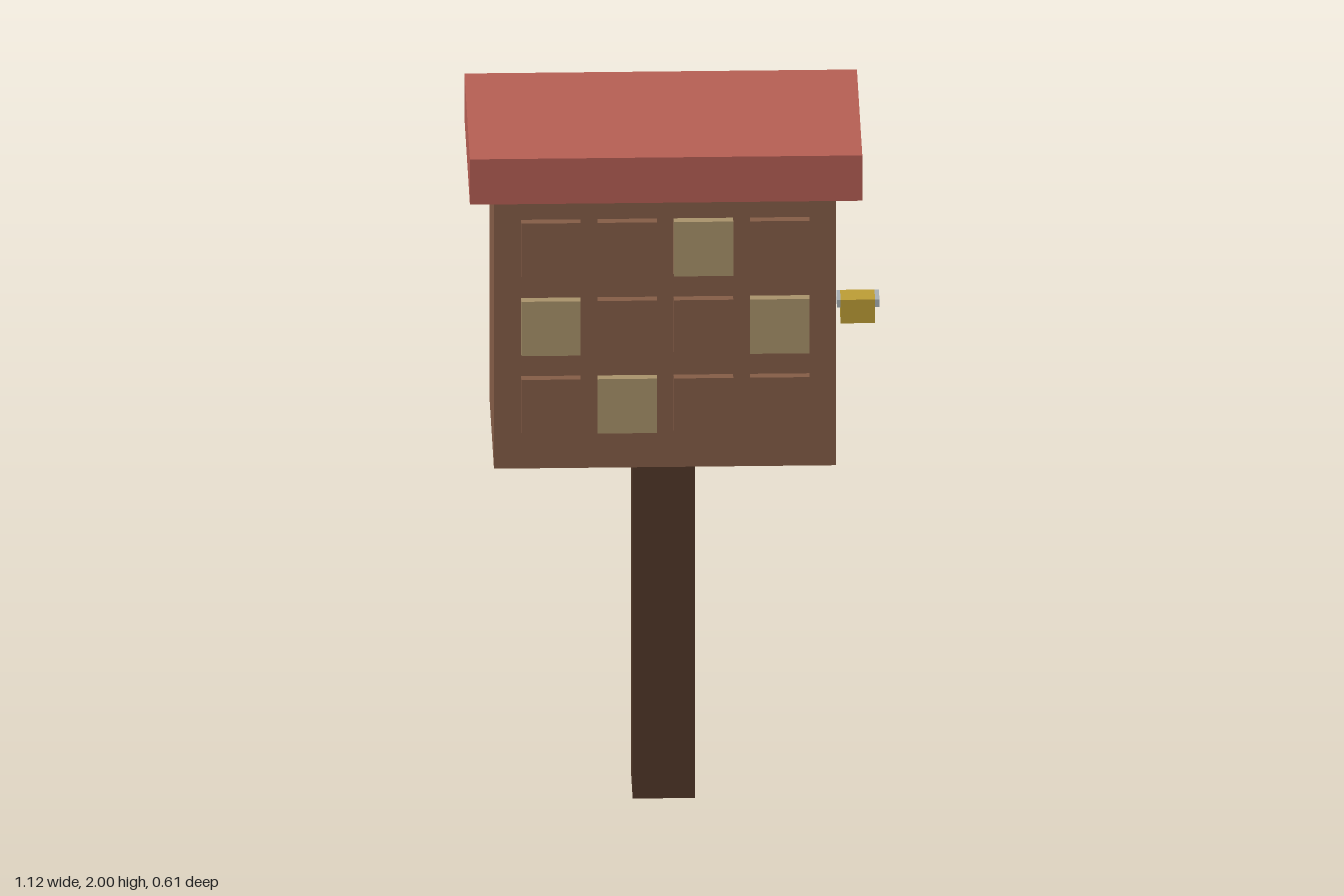
import * as THREE from 'three';

const material = (name, color) => {
  const m = new THREE.MeshStandardMaterial({ color });
  m.name = name;
  return m;
};

// Box given by its lower and upper limits on each axis
function box(name, mat, [x0, x1], [y0, y1], [z0, z1]) {
  const mesh = new THREE.Mesh(new THREE.BoxGeometry(x1 - x0, y1 - y0, z1 - z0), mat);
  mesh.name = name;
  mesh.position.set((x0 + x1) / 2, (y0 + y1) / 2, (z0 + z1) / 2);
  return mesh;
}

export function createModel() {
  const wood = material('brown wood', 0x865e48);
  const darkWood = material('dark wood', 0x523829);
  const red = material('roof red', 0xb86055);
  const tan = material('pale tan', 0xab946c);
  const gold = material('gold', 0xbf9f36);
  const grey = material('light grey', 0xabb3b8);

  const model = new THREE.Group();
  model.name = 'mailboxCabinet';

  // Post, cabinet and overhanging roof
  model.add(
    box('post', darkWood, [-0.111, 0.059], [0, 1.053], [-0.101, 0.069]),
    box('cabinet', wood, [-0.493, 0.44], [1.053, 1.865], [-0.247, 0.217]),
    box('roof', red, [-0.56, 0.51], [1.865, 2], [-0.307, 0.272]),
  );

  // Grid of raised doors, a few of them pale
  const doors = new THREE.Group();
  doors.name = 'doors';
  const paleDoors = ['0,2', '1,0', '1,3', '2,1'];
  for (let row = 0; row < 3; row++) {
    for (let col = 0; col < 4; col++) {
      const x = -0.338 + col * 0.208;
      const y = 1.713 - row * 0.233;
      const mat = paleDoors.includes(`${row},${col}`) ? tan : wood;
      doors.add(box('door', mat, [x - 0.081, x + 0.081], [y - 0.081, y + 0.081], [0.217, 0.243]));
    }
  }
  model.add(doors);

  // Small gold block with grey lips at both ends of its top
  const latch = new THREE.Group();
  latch.name = 'latch';
  const depth = [0.238, 0.306];
  latch.add(
    box('latchBlock', gold, [0.45, 0.544], [1.515, 1.585], depth),
    box('latchLip', grey, [0.44, 0.45], [1.563, 1.585], depth),
    box('latchLip', grey, [0.544, 0.556], [1.563, 1.585], depth),
  );
  model.add(latch);

  return model;
}
